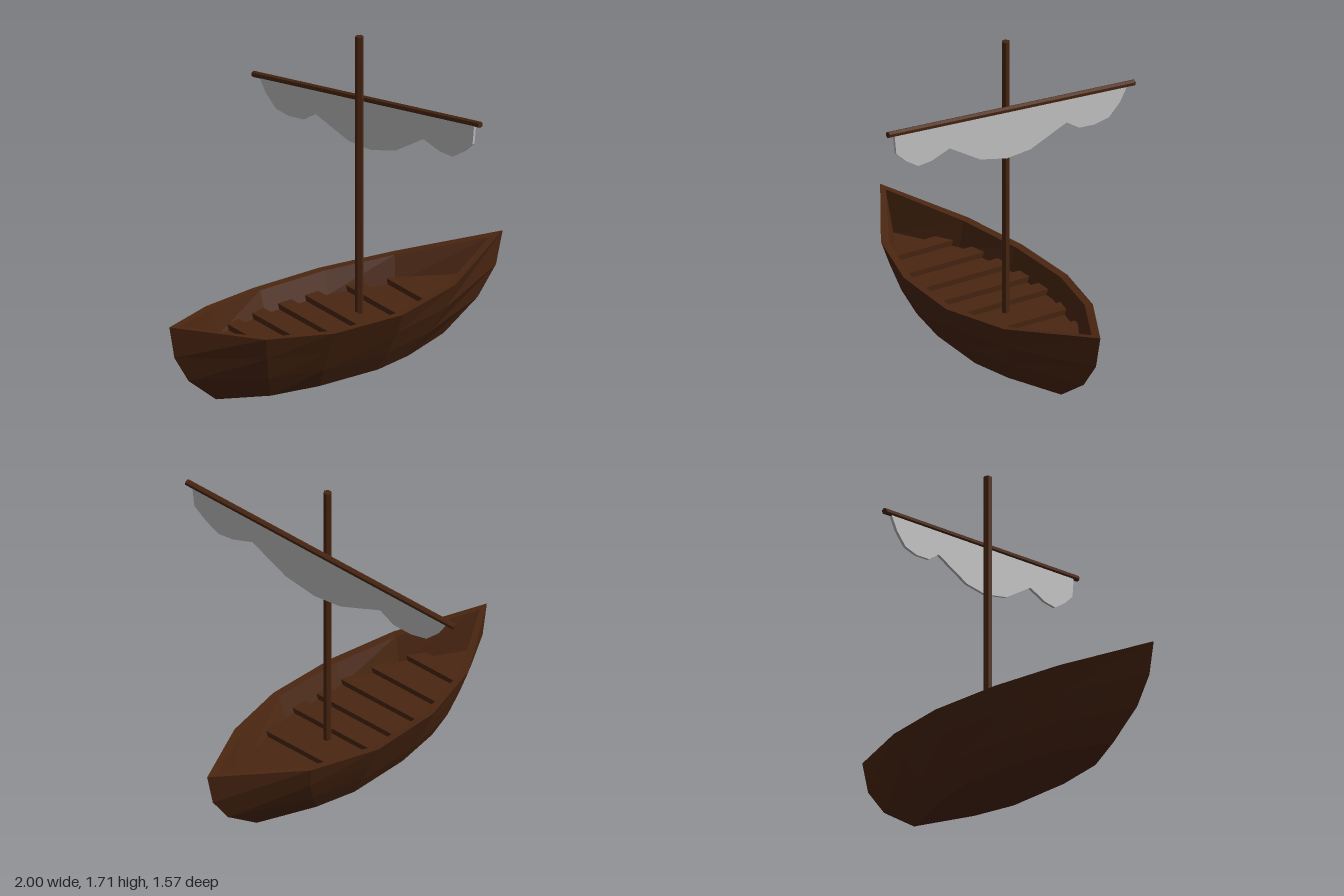
import * as THREE from 'three';

const wood = new THREE.MeshStandardMaterial({ color: 0x4a2611 });
wood.name = 'dark wood';
const cloth = new THREE.MeshStandardMaterial({ color: 0xc4c4c4 });
cloth.name = 'grey cloth';

function addMesh(group, name, geometry, material) {
  const flat = geometry.index ? geometry.toNonIndexed() : geometry;
  flat.computeVertexNormals();
  const mesh = new THREE.Mesh(flat, material);
  mesh.name = name;
  group.add(mesh);
  return mesh;
}

// Each row runs from tip to tip: x, y and half-width at six stations.
const rows = [
  { x: [-0.72, -0.48, -0.22, 0.13, 0.35, 0.645], y: [0, 0, 0, 0, 0, 0], z: [0, 0.12, 0.165, 0.17, 0.12, 0] },
  { x: [-0.885, -0.53, -0.24, 0.14, 0.43, 0.85], y: [0.14, 0.12, 0.11, 0.11, 0.12, 0.14], z: [0, 0.175, 0.23, 0.235, 0.175, 0] },
  { x: [-0.97, -0.57, -0.25, 0.15, 0.5, 0.96], y: [0.285, 0.25, 0.23, 0.23, 0.25, 0.285], z: [0, 0.215, 0.285, 0.295, 0.22, 0] },
  { x: [-1, -0.6, -0.25, 0.15, 0.53, 1], y: [0.455, 0.375, 0.35, 0.35, 0.375, 0.455], z: [0, 0.25, 0.34, 0.35, 0.255, 0] },
  // inner edge of the rim, then the edge of the floor
  { x: [-0.95, -0.58, -0.24, 0.15, 0.51, 0.92], y: [0.445, 0.372, 0.348, 0.348, 0.372, 0.44], z: [0, 0.215, 0.3, 0.31, 0.22, 0] },
  { x: [-0.88, -0.57, -0.24, 0.15, 0.49, 0.83], y: [0.24, 0.24, 0.24, 0.24, 0.24, 0.24], z: [0, 0.185, 0.255, 0.265, 0.185, 0] },
];

// Closed shell: outer skin, rim, inner walls, floor and flat bottom
function hullGeometry() {
  const positions = [];
  const point = (r, i, side) => [rows[r].x[i], rows[r].y[i], side * rows[r].z[i]];
  const quad = (a, b, c, d) => positions.push(...a, ...b, ...c, ...a, ...c, ...d);
  for (let i = 0; i < 5; i++) {
    for (let r = 0; r < rows.length - 1; r++) {
      quad(point(r, i, 1), point(r, i + 1, 1), point(r + 1, i + 1, 1), point(r + 1, i, 1));
      quad(point(r, i + 1, -1), point(r, i, -1), point(r + 1, i, -1), point(r + 1, i + 1, -1));
    }
    const f = rows.length - 1;
    quad(point(f, i, 1), point(f, i + 1, 1), point(f, i + 1, -1), point(f, i, -1));
    quad(point(0, i, -1), point(0, i + 1, -1), point(0, i + 1, 1), point(0, i, 1));
  }
  const geometry = new THREE.BufferGeometry();
  geometry.setAttribute('position', new THREE.Float32BufferAttribute(positions, 3));
  return geometry;
}

// Half-width of the inside of the hull at plank height
function innerWidth(x) {
  const { x: xs, z: zs } = rows[5];
  let i = 0;
  while (i < 4 && x > xs[i + 1]) i++;
  return THREE.MathUtils.lerp(zs[i], zs[i + 1], (x - xs[i]) / (xs[i + 1] - xs[i])) + 0.012;
}

// Flat board cut to the shape of the hull through the given x positions
function boardGeometry(xs, thickness) {
  const near = xs.map((x) => new THREE.Vector2(x, -innerWidth(x)));
  const far = xs.map((x) => new THREE.Vector2(x, innerWidth(x))).reverse();
  const geometry = new THREE.ExtrudeGeometry(new THREE.Shape([...near, ...far]), { depth: thickness, bevelEnabled: false });
  return geometry.rotateX(-Math.PI / 2).translate(0, 0.238, 0);
}

export function createModel() {
  const model = new THREE.Group();
  model.name = 'sailing boat';

  addMesh(model, 'hull', hullGeometry(), wood);

  // Cross planks and the bow platform
  const planks = new THREE.Group();
  planks.name = 'planks';
  model.add(planks);
  for (const x of [-0.69, -0.5, -0.325, -0.155, 0.01, 0.242]) {
    addMesh(planks, 'plank', boardGeometry([x, x + 0.083], 0.03), wood);
  }
  addMesh(planks, 'bowPlatform', boardGeometry([0.45, 0.49, 0.83], 0.03), wood);

  // Mast
  const mast = addMesh(model, 'mast', new THREE.CylinderGeometry(0.021, 0.021, 1.48, 6), wood);
  mast.position.set(0.14, 0.97, 0);

  // Slanting yard
  const low = new THREE.Vector3(0.07, 1.247, -0.783);
  const high = new THREE.Vector3(0.303, 1.478, 0.783);
  const along = high.clone().sub(low);
  const yard = addMesh(model, 'yard', new THREE.CylinderGeometry(0.016, 0.016, along.length(), 6), wood);
  yard.position.copy(low).add(high).multiplyScalar(0.5);
  yard.quaternion.setFromUnitVectors(new THREE.Vector3(0, 1, 0), along.clone().normalize());

  // Furled sail with a scalloped lower edge, hanging straight below the yard
  const edge = [
    [0.747, 1.473], [0.735, 1.36], [0.67, 1.3], [0.595, 1.25], [0.51, 1.25], [0.395, 1.28],
    [0.2, 1.155], [0.03, 1.105], [-0.12, 1.105], [-0.35, 1.175], [-0.43, 1.12], [-0.53, 1.105],
    [-0.62, 1.115], [-0.69, 1.175], [-0.74, 1.253],
  ];
  const stretch = Math.hypot(along.x, along.z) / along.z;
  const outline = new THREE.Shape(edge.map(([z, y]) => new THREE.Vector2(z * stretch, y)));
  const sailGeometry = new THREE.ExtrudeGeometry(outline, { depth: 0.014, bevelEnabled: false });
  sailGeometry.translate(0, 0, -0.007);
  const sail = addMesh(model, 'sail', sailGeometry, cloth);
  sail.position.x = yard.position.x;
  sail.rotation.y = -Math.atan2(along.z, along.x);

  return model;
}
